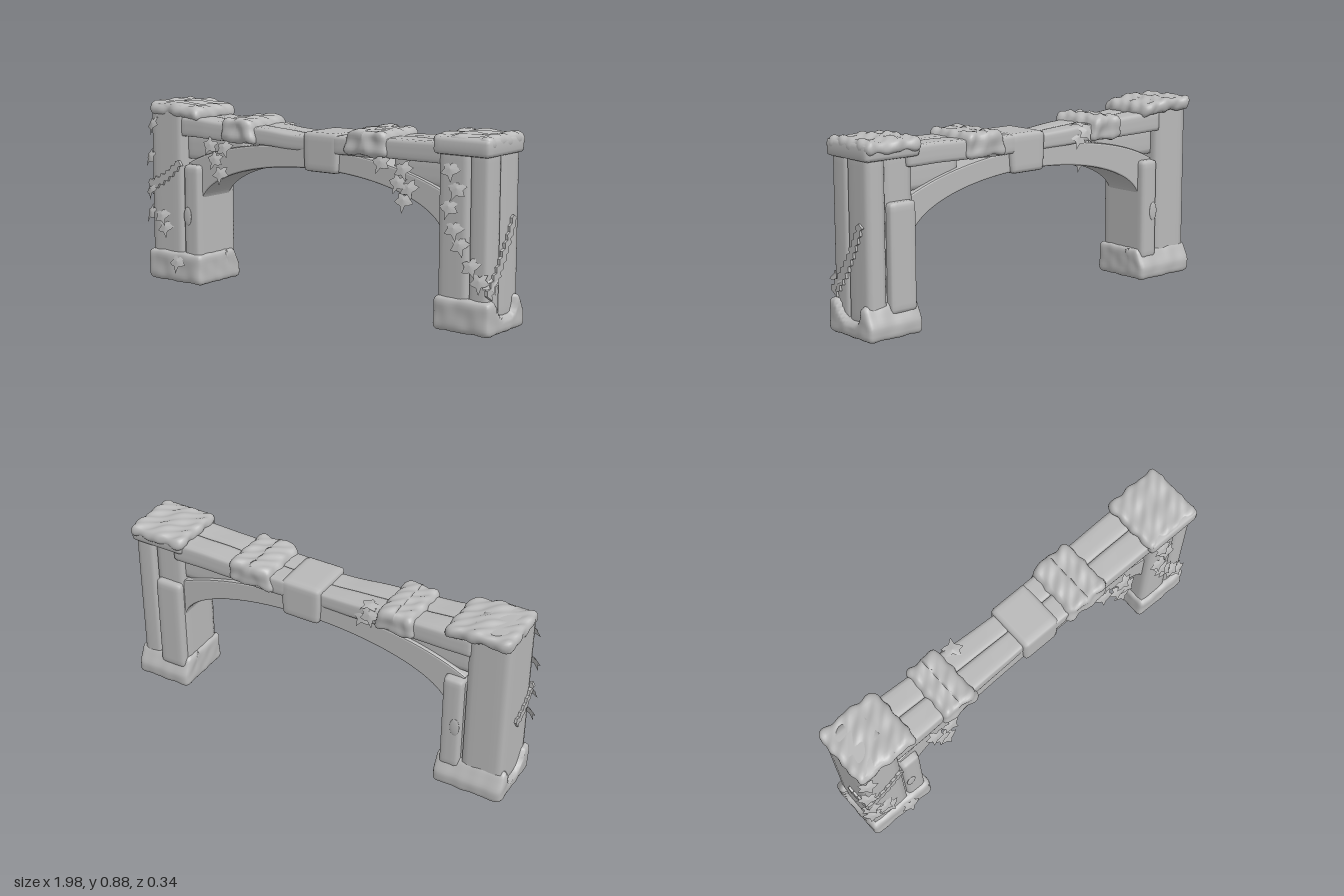
import * as THREE from 'three';
import { mergeVertices } from 'three/addons/utils/BufferGeometryUtils.js';

const stone = new THREE.MeshStandardMaterial({ color: 0xb8b8b8, side: THREE.DoubleSide });
stone.name = 'stone grey';

const { clamp, lerp } = THREE.MathUtils;
const wave = (a, b, c) => Math.sin(a * 47 + b * 31) * 0.5 + Math.sin(b * 71 - c * 53) * 0.3 + Math.sin(c * 97 + a * 83) * 0.3;

function add(group, name, geometry) {
  const mesh = new THREE.Mesh(geometry, stone);
  mesh.name = name;
  group.add(mesh);
  return mesh;
}

// Rounded, finely divided block; rule may reshape each point, lump adds a mossy surface
function block(group, name, [x0, x1], [y0, y1], [z0, z1], { r = 0.012, cell = 0.025, lump = 0, rule } = {}) {
  const size = new THREE.Vector3(x1 - x0, y1 - y0, z1 - z0);
  const centre = new THREE.Vector3(x0 + x1, y0 + y1, z0 + z1).multiplyScalar(0.5);
  let g = new THREE.BoxGeometry(...size, ...size.toArray().map(s => Math.max(4, Math.round(s / cell))));
  g.deleteAttribute('uv');
  g.deleteAttribute('normal');
  g = mergeVertices(g);
  const p = g.attributes.position, v = new THREE.Vector3(), core = new THREE.Vector3();
  const inner = size.clone().multiplyScalar(0.5).subScalar(r), outer = inner.clone().negate();
  for (let i = 0; i < p.count; i++) {
    v.fromBufferAttribute(p, i);
    core.copy(v).clamp(outer, inner);
    const out = v.clone().sub(core).normalize();
    v.copy(core).addScaledVector(out, r).add(centre);
    v.addScaledVector(out, lump * wave(v.x, v.y, v.z));
    if (rule) rule(v);
    p.setXYZ(i, v.x, v.y, v.z);
  }
  g.computeVertexNormals();
  return add(group, name, g);
}

// Five-lobed ivy leaf, stem at the top and tip hanging down
function leafGeometry() {
  const half = [1, 0.5, 0.62, 0.85, 0.5, 0.75, 0.5, 0.28];
  const n = 14;
  const g = new THREE.CircleGeometry(1, n);
  const p = g.attributes.position;
  for (let i = 1; i < p.count; i++) {
    const k = (i - 1) % n, a = (k / n) * Math.PI * 2 - Math.PI / 2;
    const rad = half[Math.min(k, n - k)];
    p.setXYZ(i, Math.cos(a) * rad, Math.sin(a) * rad, -0.22 * rad);
  }
  const faceted = g.toNonIndexed();
  faceted.computeVertexNormals();
  return faceted;
}

// Climbing vine: a toothed strip from a to b
function vineGeometry(a, b, teeth) {
  const A = new THREE.Vector2(...a), B = new THREE.Vector2(...b);
  const d = B.clone().sub(A).normalize(), side = new THREE.Vector2(-d.y, d.x);
  const edges = [1, -1].map((sign, s) => Array.from({ length: teeth * 2 + 1 }, (_, i) => {
    const t = i / (teeth * 2), width = (i + s) % 2 ? 0.026 : 0.012;
    return A.clone().lerp(B, t).addScaledVector(side, sign * width * lerp(1.2, 0.8, t) - Math.sin(t * Math.PI) * 0.015);
  }));
  const shape = new THREE.Shape([...edges[0], ...edges[1].reverse()]);
  return new THREE.ExtrudeGeometry(shape, { depth: 0.014, bevelEnabled: false });
}

export function createModel() {
  const model = new THREE.Group();
  model.name = 'overgrownArch';

  // Feet: flared at the corners and scooped on the outer side and back
  for (const [name, x0, x1, out] of [['leftFoot', 0.7, 0.985, 1], ['rightFoot', -0.97, -0.63, -1]]) {
    block(model, name, [x0, x1], [0, 0.15], [-0.17, 0.135], {
      r: 0.025, cell: 0.014, lump: 0.003,
      rule: v => {
        const depth = out > 0 ? x1 - v.x : v.x - x0;
        const dip = 0.06 + 0.1 * Math.min(1, Math.pow(Math.abs(v.z + 0.03) / 0.11, 3));
        if (depth < 0.045) v.x -= out * (0.045 - depth) * clamp((v.y - dip) / 0.02, 0, 1);
        if (v.z < -0.08) v.z += 0.035 * clamp((v.y - 0.06) / 0.08, 0, 1);
      },
    });
  }

  // Right pillar: tall post with a shorter inner plank and a knot on both faces
  const post = { cell: 0.03 }, plank = { r: 0.016, cell: 0.02 };
  block(model, 'rightPost', [-0.95, -0.755], [0.05, 0.868], [-0.135, 0.115], post);
  block(model, 'rightPostCore', [-0.8, -0.665], [0.05, 0.56], [-0.12, 0.095], post);
  block(model, 'rightInnerPlank', [-0.745, -0.65], [0.1, 0.58], [-0.15, 0.115], plank);
  for (const z of [-0.15, 0.115]) {
    const knot = add(model, 'woodKnot', new THREE.SphereGeometry(1, 20, 10));
    knot.scale.set(0.024, 0.045, 0.006);
    knot.position.set(-0.72, 0.33, z);
  }

  // Left pillar: outer and inner posts, with a shorter plank on the back
  for (const zs of [[-0.135, 0.006], [0.01, 0.11]])
    block(model, 'leftOuterPost', [0.868, 0.96], [0.05, 0.79], zs, post);
  block(model, 'leftInnerPost', [0.717, 0.862], [0.05, 0.79], [-0.12, 0.115], post);
  block(model, 'leftBackPlank', [0.722, 0.855], [0.1, 0.575], [-0.155, -0.1], plank);

  // Beams: paired planks that sink and narrow toward the middle
  const beam = (name, xs, narrow, thin) => {
    for (const zs of [[-0.123, -0.002], [-0.001, 0.122]]) {
      block(model, name, xs, [0.71, 0.8], zs, {
        cell: 0.02,
        rule: v => {
          const t = clamp(Math.abs(v.x - 0.07) / 0.7, 0, 1);
          v.z = v.z * lerp(narrow, 1.02, t) - 0.015;
          v.y = lerp(0.7, 0.712, t) + (v.y - 0.71) * lerp(thin, 1.06, t) + 0.003 * wave(v.x / 3, 0, v.z / 5);
        },
      });
    }
  };
  beam('rightBeam', [-0.77, 0], 0.78, 0.72);
  beam('leftBeam', [0.14, 0.75], 0.96, 0.92);

  // Curved arch below the beams
  const arch = new THREE.Shape();
  arch.moveTo(-0.66, 0.385);
  arch.absellipse(0.03, 0.385, 0.69, 0.238, Math.PI, 0, true);
  arch.lineTo(0.78, 0.56);
  arch.bezierCurveTo(0.4, 0.77, -0.4, 0.77, -0.74, 0.585);
  const bevel = { bevelSize: 0.008, bevelThickness: 0.008, bevelOffset: -0.008, bevelSegments: 2 };
  add(model, 'arch', new THREE.ExtrudeGeometry(arch, { depth: 0.18, curveSegments: 40, ...bevel })).position.z = -0.105;

  // Recessed panels filling the corners between arch and beam
  block(model, 'rightCornerPanel', [-0.77, -0.4], [0.6, 0.73], [-0.095, 0.065]);
  block(model, 'leftCornerPanel', [0.45, 0.75], [0.6, 0.73], [-0.095, 0.065]);

  // Keystone
  block(model, 'keystone', [-0.025, 0.172], [0.612, 0.792], [-0.135, 0.102], {
    ...plank, rule: v => { if (v.y < 0.7) v.x = lerp(v.x, 0.073, (0.7 - v.y) * 0.8); },
  });

  // Moss caps on the pillars
  const moss = { r: 0.028, cell: 0.012, lump: 0.009 };
  block(model, 'rightMossCap', [-0.96, -0.65], [0.81, 0.87], [-0.17, 0.122], {
    ...moss, rule: v => { if (v.x > -0.76) v.y -= (v.x + 0.76) * 0.2; },
  });
  block(model, 'leftCapStone', [0.695, 0.975], [0.755, 0.832], [-0.153, 0.135], plank);
  block(model, 'leftMossCap', [0.69, 0.97], [0.785, 0.84], [-0.165, 0.125], moss);

  // Moss saddles draped over the beams
  for (const [name, x, half] of [['rightMossSaddle', -0.405, 0.09], ['leftMossSaddle', 0.33, 0.11]]) {
    block(model, name, [x - half, x + half], [0.712, 0.822], [-0.153, 0.124], {
      ...moss, rule: v => { v.x += (v.y - 0.77) * (v.x < x ? 0.2 : -0.2); },
    });
  }

  // Ivy leaves
  const leafGeo = leafGeometry();
  const leaf = (x, y, z, roll, turn = 0, tilt = -0.4) => {
    const mesh = add(model, 'ivyLeaf', leafGeo);
    mesh.scale.setScalar(0.06);
    mesh.rotation.set(tilt, turn, roll, 'YXZ');
    mesh.position.set(x, y, z);
  };
  // Trails on the front: x, y, roll
  const trails = {
    pillarEdge: [[-0.935, 0.77, 0.2], [-0.95, 0.61, -0.3], [-0.95, 0.45, 0.3], [-0.95, 0.335, -0.3]],
    pillarFoot: [[-0.88, 0.325, 0.5], [-0.86, 0.27, 0.3]],
    rightBeam: [[-0.56, 0.695, -0.4], [-0.475, 0.69, 0.5], [-0.53, 0.63, -0.3], [-0.5, 0.565, 0.1]],
    leftBeam: [[0.425, 0.7, -0.3], [0.54, 0.68, 0.4], [0.515, 0.62, -0.3], [0.57, 0.6, 0.4], [0.545, 0.545, 0]],
    leftPillar: [[0.78, 0.7, 0.2], [0.815, 0.62, -0.4], [0.775, 0.54, -0.2], [0.8, 0.45, 0.3], [0.83, 0.385, 0.4],
      [0.885, 0.3, 0.5], [0.93, 0.24, 0.1]],
  };
  for (const [place, spots] of Object.entries(trails))
    for (const [x, y, roll] of spots) leaf(x, y, 0.13, roll, place === 'pillarEdge' ? -0.4 : 0);
  leaf(-0.765, 0.11, 0.15, 0);
  leaf(0.965, 0.235, 0.09, 0.3, 1.2);
  leaf(-0.28, 0.765, -0.14, 0.3, Math.PI);
  leaf(-0.24, 0.74, -0.13, -0.4, Math.PI);
  leaf(-0.27, 0.8, -0.1, 2.6, 0, -Math.PI / 2);

  // Vines climbing the pillars
  add(model, 'rightVine', vineGeometry([-0.96, 0.46], [-0.76, 0.59], 6)).position.z = 0.112;
  const leftVine = add(model, 'leftVine', vineGeometry([-0.11, 0.17], [0.09, 0.49], 10));
  leftVine.rotation.y = Math.PI / 2;
  leftVine.position.x = 0.957;
  const outerVine = add(model, 'rightOuterVine', vineGeometry([-0.03, 0.36], [0.115, 0.46], 5));
  outerVine.rotation.y = -Math.PI / 2;
  outerVine.position.x = -0.947;

  return model;
}
